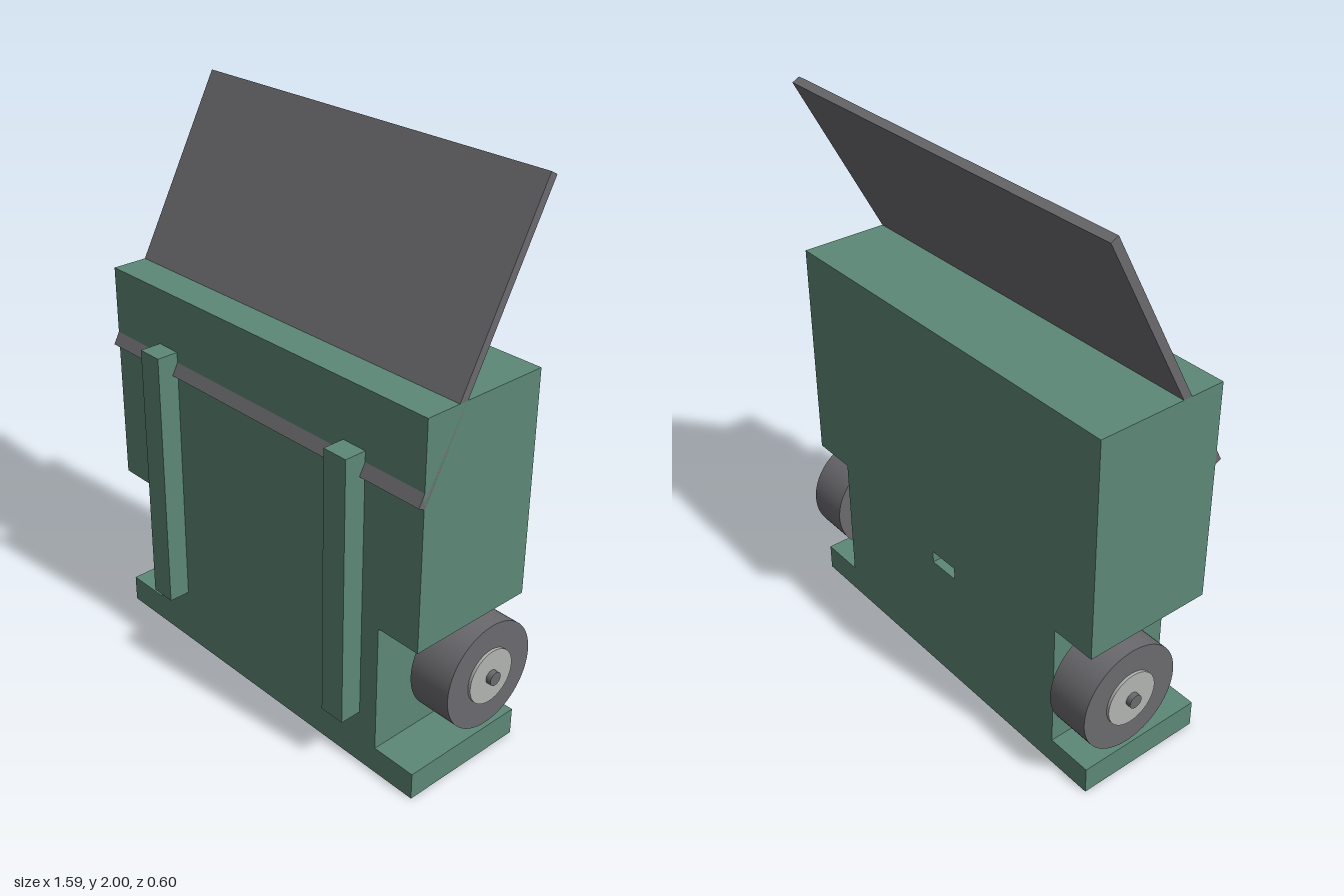
import * as THREE from 'three';

const mat = (name, color) => new THREE.MeshStandardMaterial({ name, color });

export function createModel() {
  const green = mat('green body', 0x5d8877);
  const grey = mat('dark grey', 0x6b6b6f);
  const silver = mat('light grey hub', 0xb2b4b2);
  const model = new THREE.Group();
  model.name = 'wheeledBin';

  const add = (name, geometry, material, x, y, z, parent = model) => {
    const mesh = new THREE.Mesh(geometry, material);
    mesh.name = name;
    mesh.position.set(x, y, z);
    parent.add(mesh);
    return mesh;
  };

  // Body: outline with a wheel notch on each side and a small slot
  const outline = new THREE.Shape([
    [-0.75, 0], [0.75, 0], [0.75, 0.1], [0.58, 0.1], [0.58, 0.58], [0.75, 0.58],
    [0.75, 1.39], [-0.75, 1.39], [-0.75, 0.58], [-0.58, 0.58], [-0.58, 0.1], [-0.75, 0.1],
  ].map(([x, y]) => new THREE.Vector2(x, y)));
  outline.holes.push(new THREE.Path([
    [-0.06, 0.455], [-0.06, 0.5], [0.06, 0.5], [0.06, 0.455],
  ].map(([x, y]) => new THREE.Vector2(x, y))));
  add('body', new THREE.ExtrudeGeometry(outline, { depth: 0.485, bevelEnabled: false }),
    green, 0, 0, -0.265);
  // Closes the slot behind its rear opening
  add('slotBack', new THREE.BoxGeometry(0.12, 0.045, 0.385), green, 0, 0.4775, 0.0275);

  // Sloping panel passing through the top of the body
  const panel = add('slopingPanel', new THREE.BoxGeometry(1.5, 1.015, 0.03), grey, 0, 1.5455, -0.0095);
  panel.rotation.x = -0.49;

  for (const side of [-1, 1]) {
    const label = side > 0 ? 'left' : 'right';
    // Upright rail on the front
    add(label + 'Rail', new THREE.BoxGeometry(0.096, 0.98, 0.08), green, side * 0.457, 0.695, 0.26);

    // Wheel with hub and axle
    const wheel = new THREE.Group();
    wheel.name = label + 'Wheel';
    wheel.position.set(0, 0.34, -0.105);
    model.add(wheel);
    const disc = (name, radius, x0, x1, material) => {
      const geometry = new THREE.CylinderGeometry(radius, radius, x1 - x0, 64).rotateZ(Math.PI / 2);
      add(name, geometry, material, side * (x0 + x1) / 2, 0, 0, wheel);
    };
    disc('tyre', 0.195, 0.605, 0.768, grey);
    disc('hub', 0.1, 0.597, 0.778, silver);
    disc('axle', 0.025, 0.57, 0.797, grey);
  }
  return model;
}
